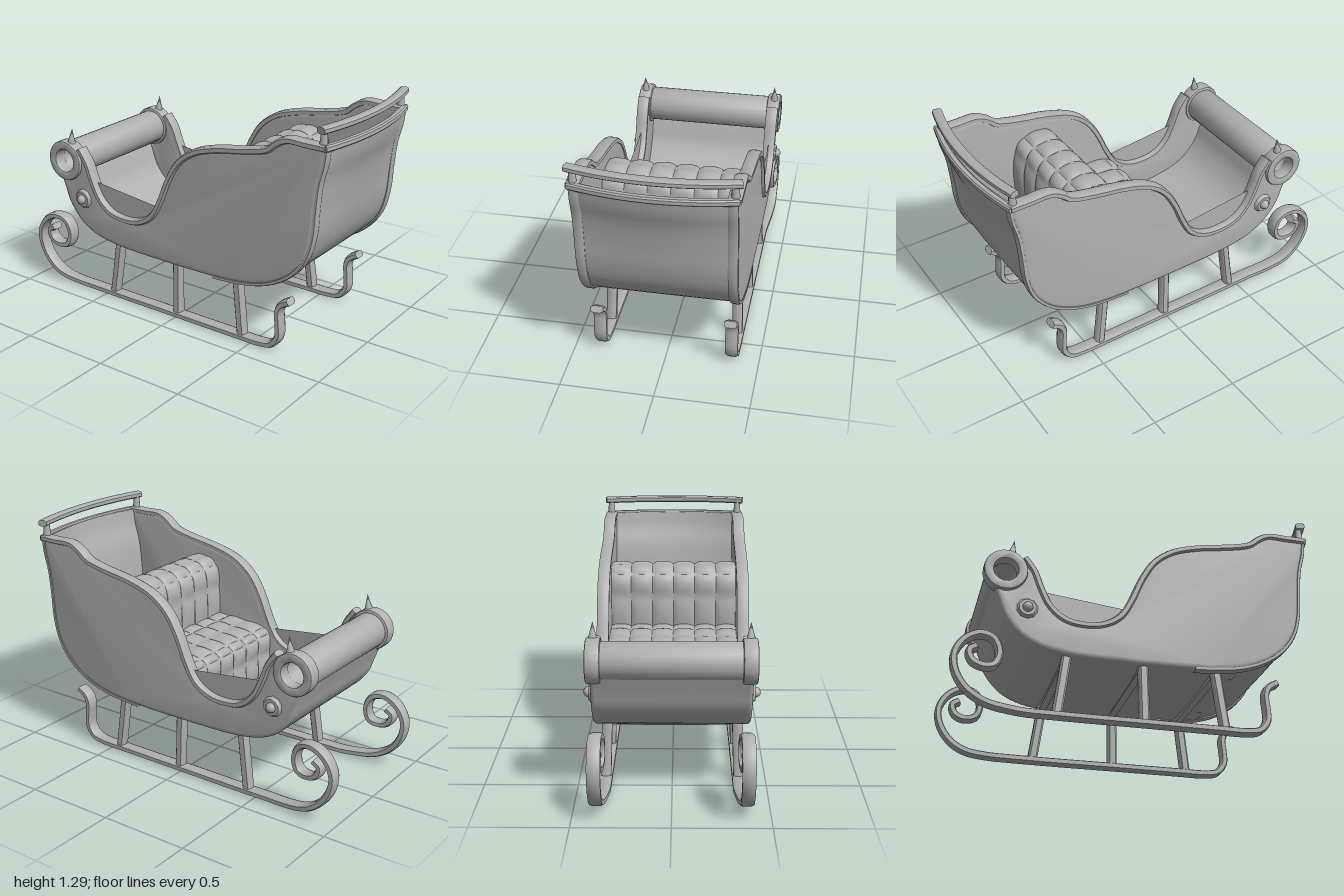
import * as THREE from 'three';
import { toCreasedNormals } from 'three/addons/utils/BufferGeometryUtils.js';

const V = (x, y, z = 0) => new THREE.Vector3(x, y, z);
const smooth = (pts, n, closed = false) =>
  new THREE.CatmullRomCurve3(pts.map(p => V(...p)), closed, 'centripetal').getPoints(n);

// Skin closed rings of points; rings run counter-clockwise about the direction of travel.
function loft(rings, caps = true, crease = 0.7) {
  const n = rings[0].length, pos = [], idx = [];
  rings.forEach(r => r.forEach(p => pos.push(p.x, p.y, p.z)));
  for (let i = 0; i < rings.length - 1; i++)
    for (let j = 0; j < n; j++) {
      const a = i * n + j, b = i * n + (j + 1) % n;
      idx.push(a, b, b + n, a, b + n, a + n);
    }
  if (caps) [0, rings.length - 1].forEach((k, end) => {
    const c = rings[k].reduce((s, p) => s.add(p), V(0, 0)).divideScalar(n);
    const ci = pos.length / 3;
    pos.push(c.x, c.y, c.z);
    for (let j = 0; j < n; j++) {
      const a = k * n + j, b = k * n + (j + 1) % n;
      end ? idx.push(ci, a, b) : idx.push(ci, b, a);
    }
  });
  const g = new THREE.BufferGeometry();
  g.setAttribute('position', new THREE.Float32BufferAttribute(pos, 3));
  g.setIndex(idx);
  return toCreasedNormals(g, crease);
}

// Chamfered bar swept along a path: w across the path, d along the axis.
function bar(path, w, d, axis = V(0, 0, 1)) {
  const sec = [[1, -.55], [1, .55], [.6, 1], [-.6, 1], [-1, .55], [-1, -.55], [-.6, -1], [.6, -1]];
  return loft(path.map((p, i) => {
    const t = path[Math.min(i + 1, path.length - 1)].clone().sub(path[Math.max(i - 1, 0)]).normalize();
    const side = axis.clone().cross(t).normalize();
    return sec.map(([u, v]) => p.clone().addScaledVector(side, u * w / 2).addScaledVector(axis, v * d / 2));
  }));
}

// Quilted cushion: a section carried across the sleigh, puffed between the seams.
function cushion(section) {
  const c = smooth(section, 64, true).slice(0, 64), rings = [];
  const cells = 6, half = .365, steps = 48;
  for (let k = 0; k <= steps; k++) {
    const across = Math.sqrt(Math.abs(Math.sin(Math.PI * cells * k / steps)));
    rings.push(c.map((p, i) => {
      const t = c[(i + 1) % 64].clone().sub(c[(i + 63) % 64]).normalize();
      const puff = .016 * across * Math.sqrt(Math.abs(Math.sin(Math.PI * 10 * i / 64))) - .01;
      return V(p.x + t.y * puff, p.y - t.x * puff, -half + 2 * half * k / steps);
    }));
  }
  return loft(rings, true, 0.6);
}

// Flat ring centred on the front roll
const ROLL = [-.74, .775];
function ring(outer, inner, z0, z1) {
  const s = new THREE.Shape().absarc(...ROLL, outer, 0, Math.PI * 2);
  s.holes.push(new THREE.Path().absarc(...ROLL, inner, 0, Math.PI * 2, true));
  const b = .01;
  const g = new THREE.ExtrudeGeometry(s, { depth: z1 - z0 - 2 * b, bevelThickness: b, bevelSize: b,
    bevelOffset: -b, bevelSegments: 2, curveSegments: 14 });
  return toCreasedNormals(g.translate(0, 0, z0 + b), 0.6);
}

// Side outline: under edge from front to back, top edge from back to front
const under = smooth([[-.8, .7], [-.765, .61], [-.73, .52], [-.65, .425], [-.55, .37], [-.4, .34], [-.1, .33],
  [.3, .335], [.5, .355], [.64, .4], [.76, .48], [.84, .59], [.875, .72], [.885, .86], [.9, 1], [.925, 1.1], [.935, 1.19]], 60);
const top = smooth([[.935, 1.185], [.82, 1.185], [.72, 1.185], [.66, 1.155], [.61, 1.115], [.5, 1.085], [.3, 1.05],
  [.16, 1.005], [.06, .93], [-.01, .82], [-.07, .68], [-.13, .58], [-.22, .525], [-.32, .512], [-.42, .53],
  [-.5, .595], [-.55, .69], [-.59, .79], [-.64, .86]], 70);

const bulge = (y, z) => .06 * Math.max(0, Math.min(1, (y - .4) / .8)) ** 1.4 * (1 - (z / .39) ** 2);

// Curved sheet that forms the front, the floor and the bowed back
function shell() {
  const inner = under.map((p, i) => {
    const t = under[Math.min(i + 1, 60)].clone().sub(under[Math.max(i - 1, 0)]).normalize();
    return V(p.x - t.y * .03, p.y + t.x * .03);
  }).reverse();
  const rings = [];
  for (let k = 0; k <= 16; k++) {
    const z = -.385 + .77 * k / 16;
    rings.push([...under, ...inner].map(p => V(p.x + (p.x > .3 ? bulge(p.y, z) : 0),
      p.y - (p.y < .37 ? .012 * (1 - (z / .385) ** 2) : 0), z)));
  }
  return loft(rings);
}

function sidePanel(s) {
  const neck = [[-.655, .75], [-.69, .69], [-.74, .665]].map(p => V(...p));
  const shape = new THREE.Shape([...under, ...top.slice(1), ...neck].map(p => new THREE.Vector2(p.x, p.y)));
  const g = new THREE.ExtrudeGeometry(shape, { depth: .016, bevelThickness: .016, bevelSize: .022,
    bevelOffset: -.022, bevelSegments: 3 });
  return toCreasedNormals(g.translate(0, 0, s * .381 - .008), 0.6);
}

// Bowed path across the back
const across = (x, y, depth, half) => Array.from({ length: 17 }, (_, k) => {
  const z = -half + 2 * half * k / 16;
  return V(x + depth * (1 - (z / half) ** 2), y, z);
});

export function createModel() {
  const model = new THREE.Group();
  const grey = new THREE.MeshStandardMaterial({ color: 0xb0b0b0 });
  grey.name = 'plain grey';
  const add = (name, geo) => {
    const m = new THREE.Mesh(geo, grey);
    m.name = name;
    model.add(m);
    return m;
  };

  // Body
  add('bodyShell', shell());
  add('frontRoll', ring(.098, .068, -.37, .37));
  add('seatCushion', cushion([[-.09, .35], [.1, .35], [.3, .35], [.31, .5], [.3, .65], [.2, .665], [.08, .66],
    [-.05, .645], [-.095, .61], [-.1, .5]]));
  add('backrest', cushion([[.28, .35], [.4, .345], [.53, .36], [.545, .6], [.535, .86], [.5, .96], [.42, 1],
    [.33, .995], [.275, .94], [.26, .8], [.26, .6]]));
  add('backRim', bar(across(.93, 1.185, .055, .41), .035, .035, V(0, 1, 0)));
  add('backRail', bar(across(.915, 1.275, .055, .42), .05, .035, V(0, 1, 0)));

  for (const s of [1, -1]) {
    const side = s > 0 ? 'front' : 'rear';
    const flat = (pts, z) => pts.map(p => V(p.x, p.y, s * z));

    // Side wall with its trim
    add(side + 'SidePanel', sidePanel(s));
    add(side + 'TopRim', bar(flat(top, .387), .036, .066));
    add(side + 'EdgeTrim', bar(flat(under.slice(26), .38), .024, .05));
    add(side + 'ScrollRing', ring(.115, .064, s > 0 ? .35 : -.425, s > 0 ? .425 : -.35));

    // Spike on the scroll and rosette below it
    const spike = add(side + 'Spike', new THREE.ConeGeometry(.024, .09, 8));
    spike.position.set(-.705, .92, s * .39);
    spike.rotation.z = -.12;
    const rosette = new THREE.Group();
    rosette.name = side + 'Rosette';
    const disc = new THREE.Mesh(new THREE.CylinderGeometry(.045, .062, .025, 10), grey);
    disc.name = 'rosetteDisc';
    const knob = new THREE.Mesh(new THREE.SphereGeometry(.028, 10, 8), grey);
    knob.name = 'rosetteKnob';
    knob.position.y = .012;
    rosette.add(disc, knob);
    rosette.rotation.x = s * Math.PI / 2;
    rosette.position.set(-.62, .57, s * .41);
    model.add(rosette);

    // Rail post
    const post = add(side + 'RailPost', new THREE.CylinderGeometry(.016, .024, .09, 8));
    post.position.set(.915, 1.225, s * .388);

    // Runner with a spiral at the front and a hook at the back
    const runner = smooth([[-.865, .335], [-.9, .31], [-.885, .26], [-.83, .235], [-.77, .25], [-.748, .32],
      [-.78, .39], [-.85, .408], [-.925, .37], [-.972, .29], [-.965, .2], [-.91, .11], [-.82, .05], [-.68, .024],
      [-.45, .018], [0, .018], [.4, .018], [.56, .019], [.63, .034], [.672, .09], [.672, .17], [.668, .23],
      [.685, .275], [.735, .308]], 110);
    runner.forEach(p => { p.z = s * (.355 + .025 * Math.max(0, Math.min(1, (-.6 - p.x) / .25))); });
    add(side + 'Runner', bar(runner, .038, .068));

    // Struts
    for (const [x0, x1] of [[-.445, -.4], [.01, .005], [.44, .4]])
      add(side + 'Strut', bar([V(x0, .02, s * .355), V((x0 + x1) / 2, .18, s * .35), V(x1, .35, s * .345)], .052, .055));
  }

  // Cross bars under the floor
  for (const x of [-.4, .005, .4]) {
    const b = add('crossBar', new THREE.BoxGeometry(.04, .03, .7));
    b.position.set(x, .328, 0);
  }
  return model;
}
